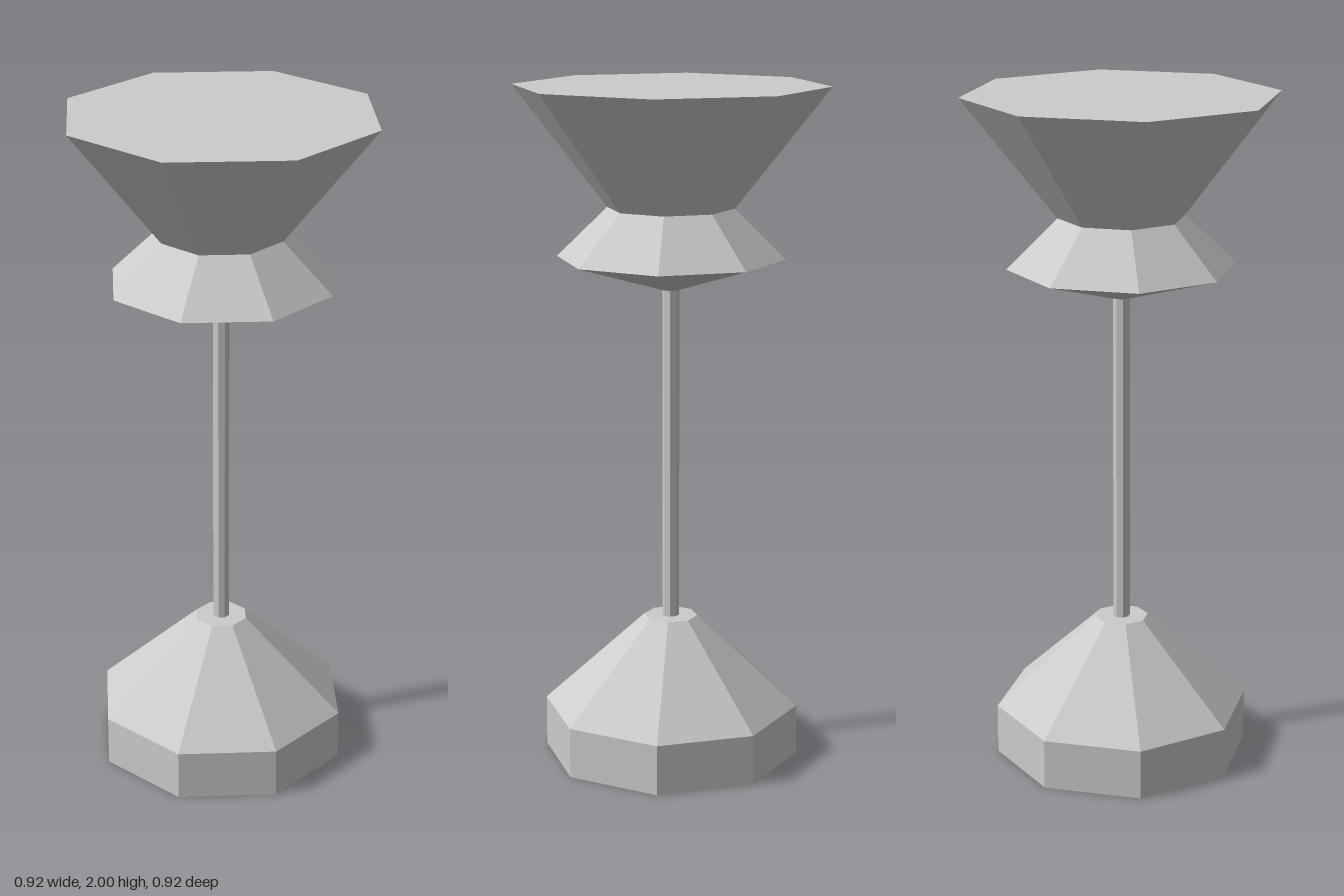
import * as THREE from 'three';

const SIDES = 8;

export function createModel() {
  const group = new THREE.Group();
  const material = new THREE.MeshStandardMaterial({ color: 0xcccccc, flatShading: true });

  // Octagonal frustum between two heights, corners on the x and z axes
  const frustum = (name, y0, r0, y1, r1, open = false) => {
    const geometry = new THREE.CylinderGeometry(r1, r0, y1 - y0, SIDES, 1, open);
    const mesh = new THREE.Mesh(geometry, material);
    mesh.name = name;
    mesh.position.y = (y0 + y1) / 2;
    group.add(mesh);
  };

  // Stepped foot
  frustum('basePlinth', 0, 0.38, 0.15, 0.38);
  frustum('baseSlope', 0.15, 0.38, 0.425, 0.08);

  // Slim stem
  frustum('stem', 0.42, 0.025, 1.415, 0.025);

  // Faceted collar and flared, closed top
  frustum('collarUnderside', 1.41, 0.02, 1.505, 0.333);
  frustum('collar', 1.505, 0.333, 1.65, 0.185);
  frustum('flaredTop', 1.65, 0.185, 2, 0.46);

  return group;
}
